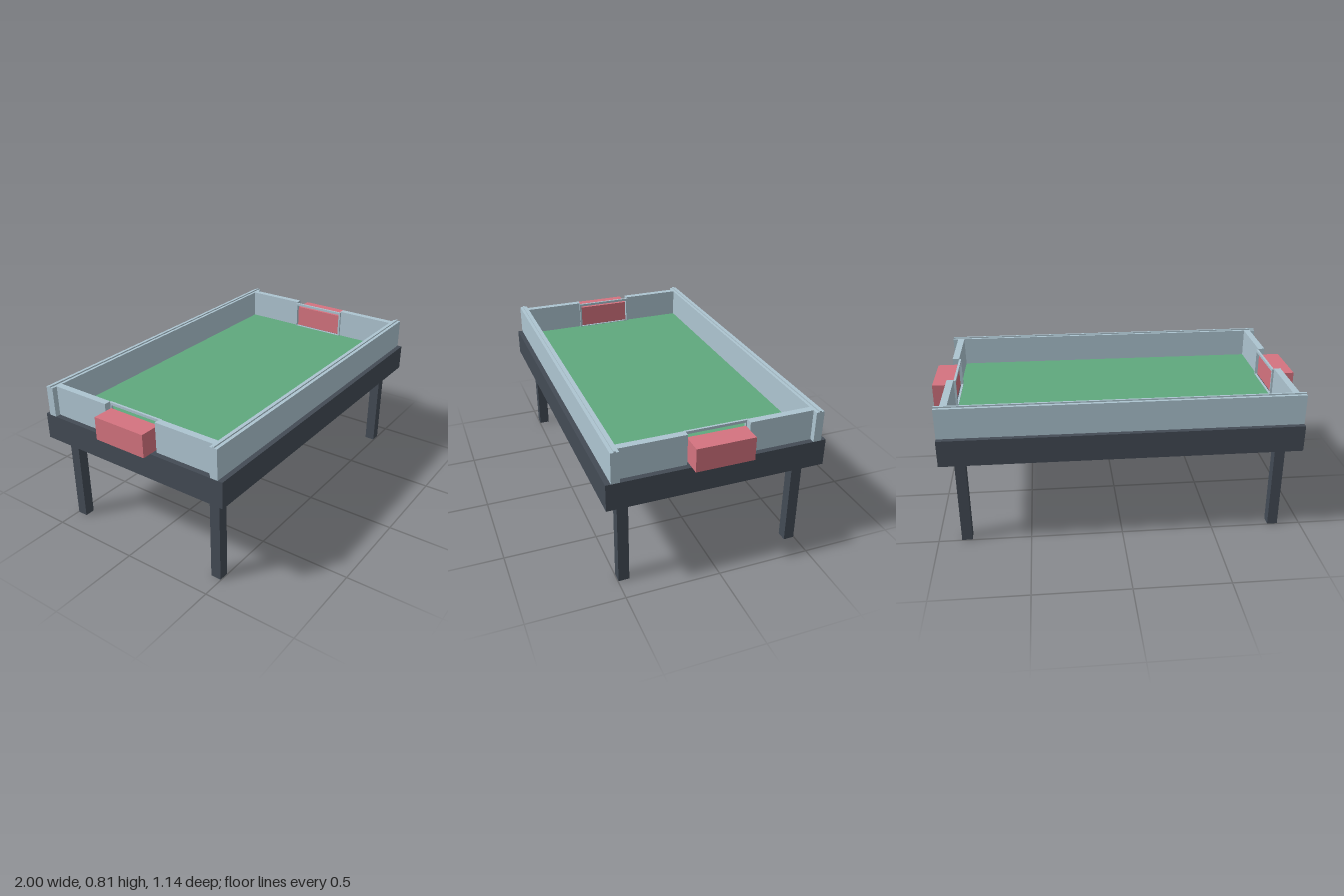
import * as THREE from 'three';

const paint = (color) => new THREE.MeshStandardMaterial({ color });

export function createModel() {
  const table = new THREE.Group();
  table.name = 'gameTable';
  const dark = paint(0x434b55);
  const pale = paint(0xadc4d0);
  const red = paint(0xd4737f);
  const green = paint(0x5fa87d);

  // Box given by its limits on each axis
  function block(name, material, [x0, x1], [y0, y1], [z0, z1], parent = table) {
    const mesh = new THREE.Mesh(new THREE.BoxGeometry(x1 - x0, y1 - y0, z1 - z0), material);
    mesh.position.set((x0 + x1) / 2, (y0 + y1) / 2, (z0 + z1) / 2);
    mesh.name = name;
    parent.add(mesh);
    return mesh;
  }
  // Limits mirrored to the other side when s is -1
  const side = (s, a, b) => (s > 0 ? [a, b] : [-b, -a]);

  // Table body and playing field
  block('tableBody', dark, [-0.947, 0.947], [0.497, 0.64], [-0.57, 0.57]);
  block('playingField', green, [-0.882, 0.882], [0.638, 0.644], [-0.502, 0.502]);

  for (const s of [1, -1]) {
    // Long walls with a narrow rail on top
    block('longWall', pale, [-0.947, 0.947], [0.64, 0.803], side(s, 0.5, 0.543));
    block('wallRail', pale, [-0.947, 0.947], [0.803, 0.81], side(s, 0.515, 0.526));

    // Legs and split end walls
    for (const t of [1, -1]) {
      block('leg', dark, side(s, 0.82, 0.876), [0, 0.497], side(t, 0.44, 0.497));
      block('endWall', pale, side(s, 0.881, 0.918), [0.64, 0.803], side(t, 0.16, 0.5));
    }

    // Goal: box behind a thin frame
    const goal = new THREE.Group();
    goal.name = s > 0 ? 'leftGoal' : 'rightGoal';
    table.add(goal);
    block('goalBox', red, side(s, 0.886, 1), [0.646, 0.77], [-0.152, 0.152], goal);
    const depth = side(s, 0.87, 0.882);
    for (const t of [1, -1]) {
      block('goalPost', pale, depth, [0.64, 0.798], side(t, 0.154, 0.165), goal);
    }
    block('crossbar', pale, depth, [0.784, 0.798], [-0.154, 0.154], goal);
    block('goalSill', pale, depth, [0.64, 0.647], [-0.154, 0.154], goal);
  }
  return table;
}
